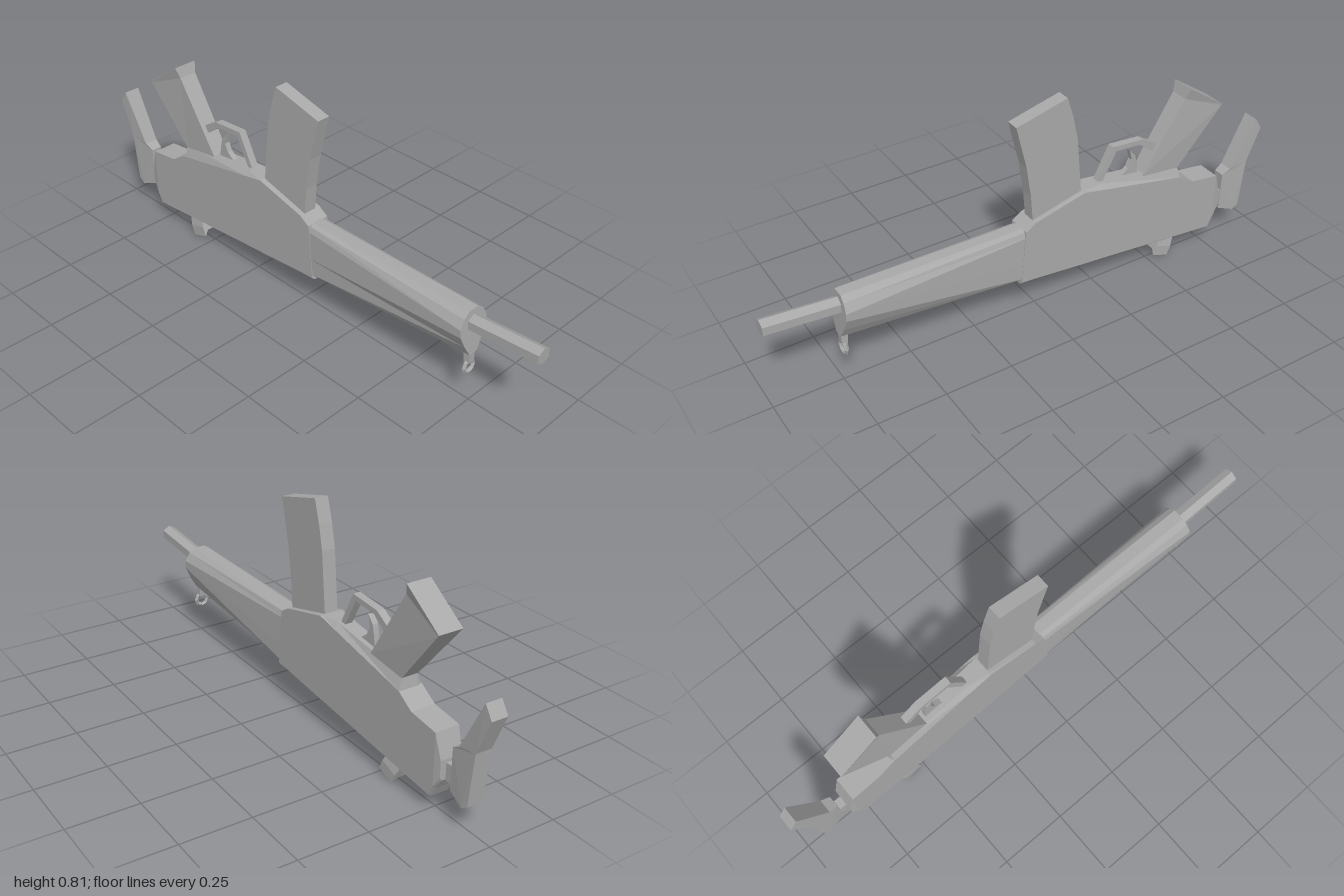
import * as THREE from 'three';

const grey = new THREE.MeshStandardMaterial({ color: 0xa8a8a8, flatShading: true });
grey.name = 'plain grey';

// Skin a list of equal-length convex rings of [x, y, z] and cap both ends
function loft(rings) {
  const pos = [];
  const tri = (a, b, c) => pos.push(...a, ...b, ...c);
  const n = rings[0].length;
  for (let i = 0; i < rings.length - 1; i++) {
    for (let j = 0; j < n; j++) {
      const k = (j + 1) % n, p = rings[i], q = rings[i + 1];
      tri(p[j], p[k], q[k]);
      tri(p[j], q[k], q[j]);
    }
  }
  const first = rings[0], last = rings[rings.length - 1];
  for (let j = 1; j < n - 1; j++) {
    tri(first[0], first[j + 1], first[j]);
    tri(last[0], last[j], last[j + 1]);
  }
  // Turn the faces outward if the enclosed volume is negative
  const a = new THREE.Vector3(), b = new THREE.Vector3(), c = new THREE.Vector3();
  let volume = 0;
  for (let i = 0; i < pos.length; i += 9) {
    volume += a.fromArray(pos, i).dot(b.fromArray(pos, i + 3).cross(c.fromArray(pos, i + 6)));
  }
  if (volume < 0) {
    for (let i = 0; i < pos.length; i += 9) {
      for (let d = 0; d < 3; d++) [pos[i + 3 + d], pos[i + 6 + d]] = [pos[i + 6 + d], pos[i + 3 + d]];
    }
  }
  const g = new THREE.BufferGeometry();
  g.setAttribute('position', new THREE.Float32BufferAttribute(pos, 3));
  g.computeVertexNormals();
  return g;
}

// Side profile in x-y, extruded symmetrically about z = 0
function plate(points, half) {
  const shape = new THREE.Shape(points.map(([x, y]) => new THREE.Vector2(x, y)));
  return new THREE.ExtrudeGeometry(shape, { depth: half * 2, bevelEnabled: false }).translate(0, 0, -half);
}

// Move every vertex by a rule
function bend(g, rule) {
  const p = g.attributes.position, v = new THREE.Vector3();
  for (let i = 0; i < p.count; i++) {
    rule(v.fromBufferAttribute(p, i));
    p.setXYZ(i, v.x, v.y, v.z);
  }
  g.computeVertexNormals();
  return g;
}

// Mirror a half section of [z, y], listed top to bottom, into a full ring
const mirrored = (x, half) => [
  ...half.map(([z, y]) => [x(y), y, z]),
  ...half.slice().reverse().map(([z, y]) => [x(y), y, -z]),
];

export function createModel() {
  const group = new THREE.Group();
  const add = (name, geometry) => {
    const mesh = new THREE.Mesh(geometry, grey);
    mesh.name = name;
    group.add(mesh);
    return mesh;
  };

  // Receiver stations: x, bottom, side top, centre top, half width of top
  const stations = [
    [-0.81, 0.135, 0.205, 0.205, 0.035],
    [-0.785, 0.095, 0.29, 0.29, 0.035],
    [-0.765, 0.056, 0.293, 0.293, 0.035],
    [-0.67, 0.065, 0.305, 0.305, 0.035],
    [-0.607, 0.071, 0.345, 0.345, 0.03],
    [-0.6, 0.072, 0.347, 0.39, 0.027],
    [-0.26, 0.105, 0.414, 0.432, 0.027],
    [-0.18, 0.112, 0.43, 0.432, 0.035],
    [0.02, 0.132, 0.38, 0.38, 0.035],
    [0.06, 0.136, 0.355, 0.355, 0.03],
  ];
  add('receiver', loft(stations.map(([x, bottom, side, top, w], i) => mirrored(
    // the front end leans forward at the bottom
    (y) => (i === stations.length - 1 ? x + (0.355 - y) * 0.09 : x),
    [[w, top], [i ? 0.045 : 0.04, side], [i ? 0.045 : 0.04, bottom + 0.011], [0.033, bottom]],
  ))));

  // Handguard widening toward the muzzle
  add('handguard', loft([
    mirrored(() => 0.04, [[0.02, 0.357], [0.035, 0.35], [0.042, 0.33], [0.043, 0.22], [0.042, 0.155], [0.02, 0.138]]),
    mirrored((y) => 0.737 + (0.36 - y) * 0.08,
      [[0.022, 0.362], [0.045, 0.345], [0.063, 0.313], [0.063, 0.285], [0.042, 0.238], [0.018, 0.196]]),
  ]));

  // Six-sided barrel rising slightly to the muzzle
  const hexagon = (x, y) => Array.from({ length: 6 }, (_, i) => {
    const t = (i * Math.PI) / 3;
    return [x, y + 0.03 * Math.cos(t), 0.031 * Math.sin(t)];
  });
  add('barrel', loft([hexagon(0.72, 0.312), hexagon(1, 0.336)]));

  // Curved magazine
  add('magazine', plate([
    [-0.115, 0.812], [-0.14, 0.73], [-0.158, 0.645], [-0.18, 0.4],
    [0.02, 0.36], [0.028, 0.48], [0.045, 0.6], [0.083, 0.762],
  ], 0.025));

  // Pistol grip with a flared end
  const quad = ([x1, y1, w1], [x2, y2, w2]) =>
    [[x1, y1, w1], [x2, y2, w2], [x2, y2, -w2], [x1, y1, -w1]];
  add('grip', loft([
    quad([-0.6, 0.383, 0.031], [-0.44, 0.4, 0.031]),
    quad([-0.772, 0.594, 0.044], [-0.61, 0.665, 0.034]),
    quad([-0.777, 0.6, 0.045], [-0.623, 0.705, 0.045]),
  ]));

  // Trigger guard and trigger
  add('triggerGuard', plate([
    [-0.52, 0.498], [-0.445, 0.543], [-0.318, 0.553], [-0.25, 0.42],
    [-0.272, 0.42], [-0.333, 0.532], [-0.435, 0.525], [-0.49, 0.482],
  ], 0.014));
  add('trigger', plate([
    [-0.395, 0.512], [-0.42, 0.485], [-0.428, 0.45], [-0.435, 0.4],
    [-0.35, 0.41], [-0.39, 0.44], [-0.405, 0.47],
  ], 0.01));

  // Shoulder stock, thinning toward its neck
  add('stock', bend(plate([
    [-1, 0.425], [-0.97, 0.47], [-0.87, 0.28], [-0.838, 0.262],
    [-0.835, 0.112], [-0.9, 0.088], [-0.925, 0.105], [-0.945, 0.295],
  ], 0.03), (v) => {
    v.z *= THREE.MathUtils.clamp(1 - (v.x + 0.9) * 5, 0.6, 1);
  }));
  const neck = add('stockNeck', new THREE.BoxGeometry(0.06, 0.062, 0.036));
  neck.position.set(-0.82, 0.162, 0);

  // Forked rear lug, slanted forward
  add('rearLug', bend(plate([
    [-0.022, 0.09], [-0.037, 0.035], [-0.037, 0], [-0.02, 0.018],
    [0.02, 0.018], [0.037, 0], [0.037, 0.035], [0.022, 0.09],
  ], 0.033).rotateY(Math.PI / 2), (v) => {
    const along = v.x;
    v.x += -0.578 + (0.075 - v.y) * 0.45;
    v.y += (along + 0.033) * 0.35 + 0.001;
  }));

  // Small ring hanging below the front of the handguard
  const ring = add('frontRing', new THREE.TorusGeometry(0.024, 0.008, 4, 8).rotateY(Math.PI / 2));
  ring.position.set(0.737, 0.137, 0);
  add('ringStem', loft([
    quad([0.722, 0.21, 0.012], [0.748, 0.21, 0.012]),
    quad([0.727, 0.155, 0.014], [0.747, 0.155, 0.014]),
  ]));

  return group;
}
